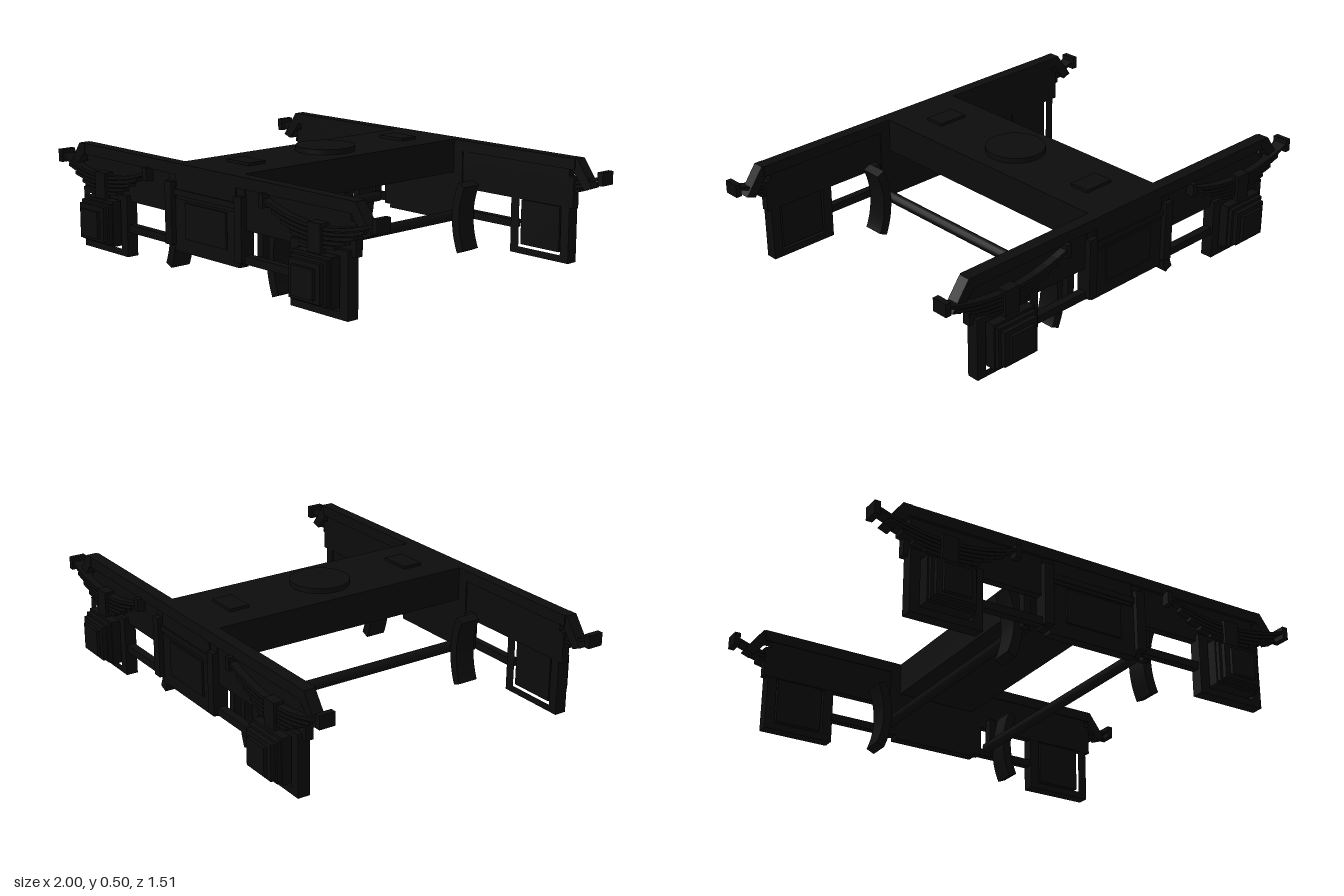
import * as THREE from 'three';

export function createModel() {
  const black = new THREE.MeshStandardMaterial({ color: 0x0c0c0c });
  black.name = 'blackIron';
  const root = new THREE.Group();
  root.name = 'truckFrame';

  const add = (parent, name, geo) => {
    const mesh = new THREE.Mesh(geo, black);
    mesh.name = name;
    parent.add(mesh);
    return mesh;
  };
  // Box given by its limits on each axis
  const box = (parent, name, x0, x1, y0, y1, z0, z1) => {
    const m = add(parent, name, new THREE.BoxGeometry(Math.abs(x1 - x0), y1 - y0, z1 - z0));
    m.position.set((x0 + x1) / 2, (y0 + y1) / 2, (z0 + z1) / 2);
    return m;
  };
  const outline = (pts) => new THREE.Shape(pts.map(([x, y]) => new THREE.Vector2(x, y)));
  const plate = (parent, name, shape, z0, z1) => {
    const geo = new THREE.ExtrudeGeometry(shape, { depth: z1 - z0, bevelEnabled: false });
    geo.translate(0, 0, z0);
    return add(parent, name, geo);
  };
  // Curved strip: y = f(x) centre line with a constant thickness
  const strip = (x0, x1, t, f) => {
    const top = [], low = [];
    for (let i = 0; i <= 12; i++) {
      const x = x0 + (x1 - x0) * i / 12;
      top.push([x, f(x) + t / 2]);
      low.unshift([x, f(x) - t / 2]);
    }
    return outline([...low, ...top]);
  };

  // Cross bolster with pivot plate and side bearers
  box(root, 'bolster', -0.19, 0.19, 0.33, 0.478, -0.655, 0.655);
  const pivot = add(root, 'pivotPlate', new THREE.CylinderGeometry(0.128, 0.128, 0.03, 24));
  pivot.position.y = 0.485;
  for (const s of [-1, 1])
    box(root, 'sideBearer', -0.07, 0.07, 0.47, 0.49, s * 0.44 - 0.045, s * 0.44 + 0.045);

  // Brake cross rods
  for (const s of [-1, 1]) {
    const rod = add(root, 'brakeRod', new THREE.CylinderGeometry(0.024, 0.024, 1.17, 12));
    rod.rotation.x = Math.PI / 2;
    rod.position.set(s * 0.262, 0.157, 0);
  }

  const makeSide = () => {
    const g = new THREE.Group();
    g.name = 'sideFrame';

    // Web and top flange
    box(g, 'web', -0.855, 0.855, 0.265, 0.4, 0.61, 0.645);
    box(g, 'upperWeb', -0.83, 0.83, 0.39, 0.44, 0.61, 0.645);
    box(g, 'topFlange', -0.86, 0.86, 0.43, 0.478, 0.605, 0.658);

    // Central spring pocket
    plate(g, 'springPocket', outline([[-0.205, 0.108], [0.205, 0.108], [0.205, 0.125], [0.24, 0.125],
      [0.24, 0.43], [-0.24, 0.43], [-0.24, 0.125], [-0.205, 0.125]]), 0.605, 0.65);
    box(g, 'pocketPanel', -0.13, 0.13, 0.17, 0.32, 0.65, 0.658);
    box(g, 'pocketCap', -0.22, 0.22, 0.345, 0.37, 0.65, 0.66);

    for (const s of [-1, 1]) {
      // Sloped frame end
      plate(g, 'frameEnd', outline([[0.83, 0.478], [0.868, 0.478], [0.95, 0.365], [0.91, 0.35], [0.845, 0.43], [0.83, 0.43]]
        .map(([x, y]) => [s * x, y])), 0.61, 0.66);

      // Pocket column and lower tie bar
      box(g, 'pocketColumn', s * 0.2, s * 0.243, 0.135, 0.4, 0.61, 0.673);
      box(g, 'tieBar', s * 0.23, s * 0.54, 0.132, 0.165, 0.62, 0.655);

      // Axle guard around the box opening
      const guard = outline([[0.52, 0.025], [0.835, 0.025], [0.835, 0.29], [0.52, 0.29]].map(([x, y]) => [s * x, y]));
      guard.holes.push(new THREE.Path([[0.565, 0.055], [0.792, 0.055], [0.792, 0.265], [0.565, 0.265]]
        .map(([x, y]) => new THREE.Vector2(s * x, y))));
      plate(g, 'axleGuard', guard, 0.612, 0.665);

      // Stepped axle box
      const steps = [[0.104, 0.066, 0.262, 0.615, 0.7], [0.098, 0.075, 0.25, 0.7, 0.718],
        [0.085, 0.085, 0.238, 0.718, 0.738], [0.06, 0.1, 0.218, 0.738, 0.753]];
      for (const [w, y0, y1, z0, z1] of steps)
        box(g, 'axleBox', s * 0.678 - w, s * 0.678 + w, y0, y1, z0, z1);

      // Leaf spring, longest leaf on top, with a buckle and end shackles
      for (let i = 0; i < 5; i++) {
        const half = 0.3 - i * 0.05;
        const sag = (x) => 0.355 - i * 0.017 + 0.055 * ((x - s * 0.678) / 0.3) ** 2;
        plate(g, 'springLeaf', strip(s * 0.678 - half, s * 0.678 + half, 0.014, sag), 0.62, 0.678);
      }
      box(g, 'springBuckle', s * 0.678 - 0.035, s * 0.678 + 0.035, 0.26, 0.375, 0.62, 0.69);
      box(g, 'outerShackle', s * 0.974, s * 1.0, 0.38, 0.436, 0.612, 0.682);
      box(g, 'innerShackle', s * 0.356, s * 0.382, 0.38, 0.436, 0.612, 0.682);

      // Brake shoe curved around the wheel line, and its hanger
      const shoe = new THREE.Shape();
      const c = s * 0.68, mid = s > 0 ? Math.PI : 0, a = 0.415;
      shoe.absarc(c, 0.158, 0.39, mid - a, mid + a, false);
      shoe.absarc(c, 0.158, 0.35, mid + a, mid - a, true);
      shoe.closePath();
      plate(g, 'brakeShoe', shoe, 0.488, 0.584);
      box(g, 'brakeHanger', s * 0.272, s * 0.305, 0.132, 0.3, 0.575, 0.615);
    }
    return g;
  };

  // Two identical side frames, one turned to the back
  const front = makeSide();
  const back = makeSide();
  back.rotation.y = Math.PI;
  root.add(front, back);
  return root;
}
